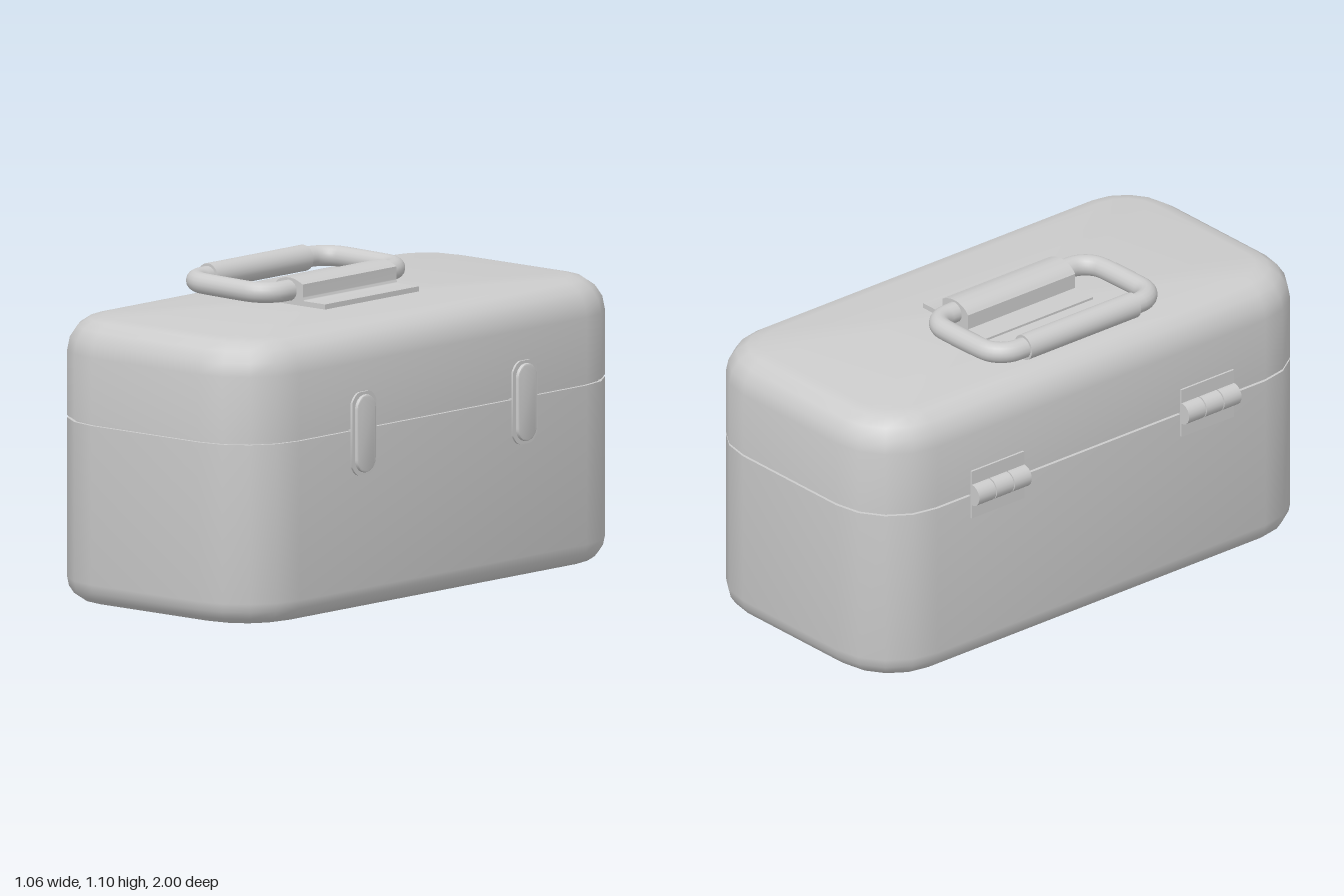
import * as THREE from 'three';
import { toCreasedNormals } from 'three/addons/utils/BufferGeometryUtils.js';

const material = new THREE.MeshStandardMaterial({ color: 0xcccccc });

function add(parent, name, geometry, x = 0, y = 0, z = 0) {
  const mesh = new THREE.Mesh(geometry, material);
  mesh.name = name;
  mesh.position.set(x, y, z);
  parent.add(mesh);
  return mesh;
}

// Points [x, z] around a rounded rectangle
function roundedRect(halfX, halfZ, radius, steps) {
  const points = [];
  for (let corner = 0; corner < 4; corner++) {
    const sx = corner === 0 || corner === 3 ? 1 : -1;
    const sz = corner < 2 ? 1 : -1;
    for (let i = 0; i <= steps; i++) {
      const a = (corner + i / steps) * Math.PI / 2;
      points.push([sx * (halfX - radius) + radius * Math.cos(a), sz * (halfZ - radius) + radius * Math.sin(a)]);
    }
  }
  return points;
}

// Closed shell through rounded rectangles; each level is [y, inset]
function shell(levels) {
  const positions = [], index = [];
  let n = 0;
  for (const [y, inset] of levels) {
    const ring = roundedRect(0.4975 - inset, 1 - inset, 0.25 - inset, 4);
    n = ring.length;
    for (const [x, z] of ring) positions.push(x, y, z);
  }
  const last = (levels.length - 1) * n, bottom = levels.length * n, top = bottom + 1;
  positions.push(0, levels[0][0], 0, 0, levels[levels.length - 1][0], 0);
  for (let i = 0; i < n; i++) {
    const j = (i + 1) % n;
    for (let k = 0; k < last; k += n) {
      index.push(k + i, k + n + i, k + j, k + j, k + n + i, k + n + j);
    }
    index.push(bottom, i, j, top, last + j, last + i);
  }
  const geometry = new THREE.BufferGeometry();
  geometry.setAttribute('position', new THREE.Float32BufferAttribute(positions, 3));
  geometry.setIndex(index);
  geometry.computeVertexNormals();
  return toCreasedNormals(geometry, 0.7);
}

// Quarter-round edge levels, from the flat face (0) to the wall (1)
function edge(faceY, radius, direction) {
  return [0, 1, 2, 3, 4].map((i) => {
    const a = i / 4 * Math.PI / 2;
    return [faceY + direction * radius * (1 - Math.cos(a)), radius * (1 - Math.sin(a))];
  });
}

function extrude(shape, depth, bevel = 0) {
  return toCreasedNormals(new THREE.ExtrudeGeometry(shape, {
    depth, curveSegments: 8, bevelEnabled: bevel > 0,
    bevelSize: bevel, bevelThickness: bevel, bevelSegments: 2,
  }), 0.6);
}

function createHinge(z) {
  const hinge = new THREE.Group();
  hinge.name = 'hinge';
  hinge.position.set(-0.485, 0.647, z);
  add(hinge, 'lowerHingeLeaf', new THREE.BoxGeometry(0.012, 0.088, 0.24), -0.002, -0.047, 0);
  add(hinge, 'upperHingeLeaf', new THREE.BoxGeometry(0.012, 0.088, 0.24), -0.002, 0.047, 0);
  for (let i = -1; i <= 1; i++) {
    const knuckle = new THREE.CylinderGeometry(0.04, 0.04, 0.077, 20).rotateX(Math.PI / 2);
    add(hinge, 'hingeKnuckle', knuckle, -0.008, 0, i * 0.0815);
  }
  add(hinge, 'hingePin', new THREE.CylinderGeometry(0.03, 0.03, 0.236, 16).rotateX(Math.PI / 2), -0.008, 0, 0);
  return hinge;
}

function createLatch(z) {
  const latch = new THREE.Group();
  latch.name = 'latch';
  latch.position.set(0.5, 0.627, z);
  // Back plate with chamfered, slightly bowed ends
  const plate = new THREE.Shape();
  plate.moveTo(-0.063, -0.112);
  plate.quadraticCurveTo(-0.045, -0.147, -0.02, -0.147);
  plate.lineTo(0.02, -0.147);
  plate.quadraticCurveTo(0.045, -0.147, 0.063, -0.112);
  plate.lineTo(0.063, 0.112);
  plate.quadraticCurveTo(0.045, 0.147, 0.02, 0.147);
  plate.lineTo(-0.02, 0.147);
  plate.quadraticCurveTo(-0.045, 0.147, -0.063, 0.112);
  add(latch, 'latchPlate', extrude(plate, 0.018).rotateY(Math.PI / 2));
  // Raised pill-shaped lever
  const lever = new THREE.Shape();
  lever.absarc(0, 0.088, 0.044, 0, Math.PI);
  lever.absarc(0, -0.088, 0.044, Math.PI, Math.PI * 2);
  add(latch, 'latchLever', extrude(lever, 0.016, 0.005).rotateY(Math.PI / 2), 0.009);
  return latch;
}

function createHandle() {
  const handle = new THREE.Group();
  handle.name = 'handle';
  handle.position.set(-0.175, 1.052, 0);
  handle.rotation.z = -0.016;
  const path = roundedRect(0.185, 0.362, 0.085, 6).map(([x, z]) => new THREE.Vector3(x, 0, z));
  const curve = new THREE.CatmullRomCurve3(path, true);
  add(handle, 'handleLoop', new THREE.TubeGeometry(curve, 128, 0.037, 16, true));
  add(handle, 'handleGrip', new THREE.CylinderGeometry(0.046, 0.046, 0.5, 24).rotateX(Math.PI / 2), -0.185, 0, 0);
  return handle;
}

function createBracket() {
  // Side profile: thin rear flange, hump over the handle bar, front flange
  const s = new THREE.Shape();
  s.moveTo(-0.155, 0.995);
  s.lineTo(0.18, 0.995);
  s.lineTo(0.18, 1.018);
  s.lineTo(0.087, 1.018);
  s.quadraticCurveTo(0.076, 1.019, 0.076, 1.032);
  s.lineTo(0.076, 1.076);
  s.quadraticCurveTo(0.04, 1.094, 0.015, 1.094);
  s.quadraticCurveTo(-0.035, 1.094, -0.06, 1.062);
  s.lineTo(-0.06, 1.008);
  s.lineTo(-0.155, 1.008);
  return extrude(s, 0.49);
}

export function createModel() {
  const model = new THREE.Group();
  model.name = 'toolCase';

  // Case halves with a narrow recessed seam between them
  const centreX = 0.0125;
  add(model, 'caseBase', shell([...edge(0, 0.08, 1), [0.641, 0]]), centreX);
  add(model, 'seam', shell([[0.63, 0.012], [0.66, 0.012]]), centreX);
  add(model, 'caseLid', shell([[0.649, 0], ...edge(1, 0.12, -1).reverse()]), centreX);

  // Fittings on the long sides
  for (const side of [-1, 1]) {
    model.add(createHinge(side * 0.48));
    model.add(createLatch(side * 0.42));
  }

  // Folding handle on the lid
  model.add(createHandle());
  add(model, 'handleBracket', createBracket(), 0, 0, -0.245);
  return model;
}
